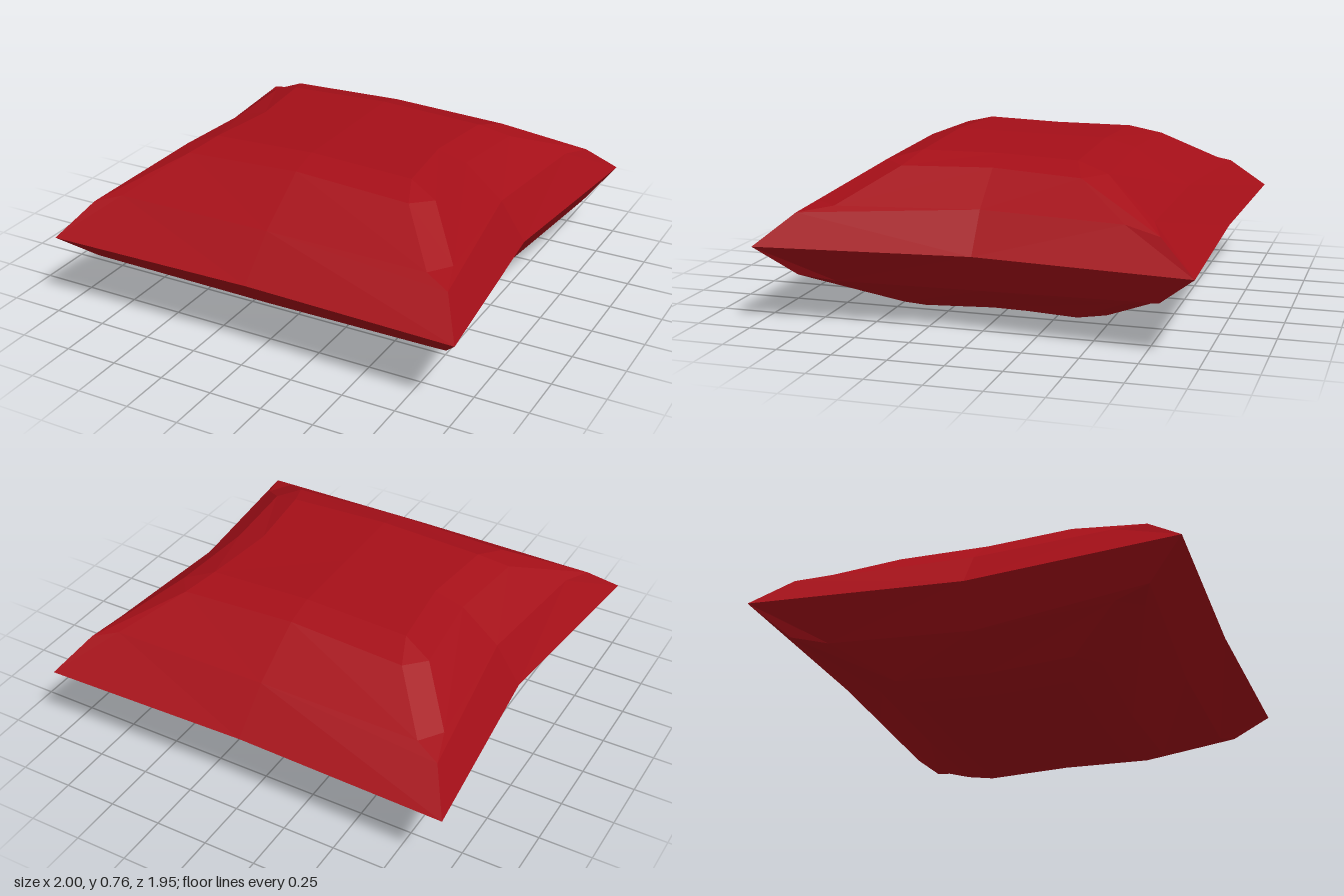
import * as THREE from 'three';

const RIM_Y = 0.37;

// One quarter of the cushion: [x, z, height above the seam], ring by ring
const P = {
  centre: [0, 0, 0.388], aSide: [0.46, 0, 0.37], aCorner: [0.5, 0.36, 0.375], aFront: [0, 0.36, 0.395],
  bSide: [0.6, 0, 0.33], bSideEnd: [0.64, 0.41, 0.325], bFrontEnd: [0.56, 0.51, 0.335], bFront: [0, 0.5, 0.358],
  cSide: [0.78, 0, 0.18], cSideEnd: [0.84, 0.65, 0.17], cCorner: [0.89, 0.81, 0.14],
  cFrontEnd: [0.77, 0.76, 0.175], cFront: [0, 0.76, 0.18],
  rimSide: [0.9, 0, 0], rimCorner: [1, 0.975, 0], rimFront: [0, 0.95, 0],
};

// Faces of that quarter, drawn as fans from their first corner
const FACES = [
  ['centre', 'aSide', 'aCorner', 'aFront'],
  ['aCorner', 'aSide', 'bSide', 'bSideEnd'],
  ['aCorner', 'bSideEnd', 'bFrontEnd'],
  ['aCorner', 'bFrontEnd', 'bFront', 'aFront'],
  ['bSideEnd', 'bSide', 'cSide', 'cSideEnd'],
  ['cCorner', 'cFrontEnd', 'bFrontEnd', 'bSideEnd', 'cSideEnd'],
  ['bFrontEnd', 'cFrontEnd', 'cFront', 'bFront'],
  ['cSideEnd', 'cSide', 'rimSide', 'rimCorner', 'cCorner'],
  ['cFrontEnd', 'cCorner', 'rimCorner', 'rimFront', 'cFront'],
];

// Mirror the quarter four ways into one half; up is 1 for the top, -1 for the underside
function cushionHalf(up) {
  const pos = [];
  const place = (name, sx, sz) => {
    const [x, z, h] = P[name];
    let rise = h;
    if (up < 0 && h > 0.2) rise = h - 0.025; // underside is a little flatter
    else if (up > 0 && sz < 0 && z > 0 && h > 0.2) rise = h - 0.012; // back sags slightly
    return [sx * x, RIM_Y + up * rise, sz * z];
  };
  for (const sx of [1, -1]) for (const sz of [1, -1]) for (const face of FACES) {
    const c = face.map((name) => place(name, sx, sz));
    if (sx * sz * up > 0) c.reverse();
    for (let i = 1; i < c.length - 1; i++) pos.push(...c[0], ...c[i], ...c[i + 1]);
  }
  const geo = new THREE.BufferGeometry();
  geo.setAttribute('position', new THREE.Float32BufferAttribute(pos, 3));
  geo.computeVertexNormals();
  return geo;
}

export function createModel() {
  const group = new THREE.Group();
  group.name = 'cushion';
  const fabric = new THREE.MeshStandardMaterial({ color: 0xa50f18, flatShading: true });
  for (const [name, up] of [['cushionTop', 1], ['cushionUnderside', -1]]) {
    const mesh = new THREE.Mesh(cushionHalf(up), fabric);
    mesh.name = name;
    group.add(mesh);
  }
  return group;
}
